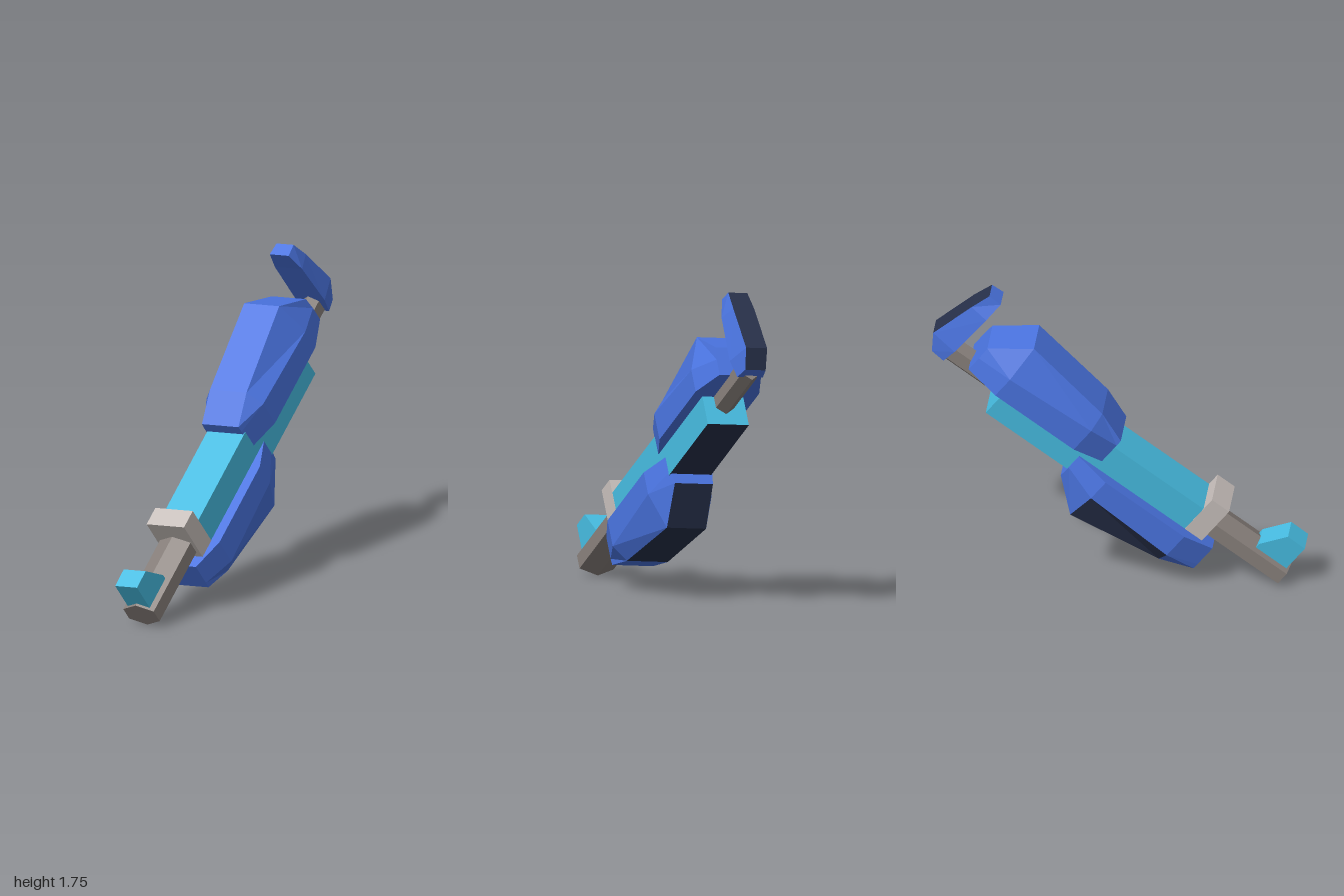
import * as THREE from 'three';

const flat = (name, color) => {
  const m = new THREE.MeshStandardMaterial({ color, flatShading: true });
  m.name = name;
  return m;
};

// Shared centre lines of the tilted assembly
const MID_B = 0.537, MID_C = 0.093;

// Skin closed rings of [x, y, z] points, counter-clockwise about the sweep, with end caps.
// Side panels picked by isDark(segment, side) go to the second material group.
function loft(rings, isDark) {
  const main = [], dark = [];
  const n = rings[0].length;
  for (let s = 0; s < rings.length - 1; s++) {
    for (let i = 0; i < n; i++) {
      const j = (i + 1) % n, A = rings[s], B = rings[s + 1];
      const out = isDark(s, i) ? dark : main;
      out.push(...A[i], ...A[j], ...B[j], ...A[i], ...B[j], ...B[i]);
    }
  }
  const first = rings[0], last = rings[rings.length - 1];
  for (let i = 1; i < n - 1; i++) {
    main.push(...first[0], ...first[i + 1], ...first[i]);
    main.push(...last[0], ...last[i], ...last[i + 1]);
  }
  const g = new THREE.BufferGeometry();
  g.setAttribute('position', new THREE.Float32BufferAttribute([...main, ...dark], 3));
  g.addGroup(0, main.length / 3, 0);
  g.addGroup(main.length / 3, dark.length / 3, 1);
  g.computeVertexNormals();
  return g;
}

export function createModel() {
  const cyan = flat('cyan', 0x46bbe0);
  const blue = flat('blue', 0x4a74e0);
  const navy = flat('dark navy', 0x27304a);
  const lightGrey = flat('light grey', 0xc6beba);
  const darkGrey = flat('dark grey', 0x88807b);

  const model = new THREE.Group();
  model.name = 'model';
  const assembly = new THREE.Group();
  assembly.name = 'tiltedAssembly';
  model.add(assembly);

  const add = (name, geometry, material) => {
    const mesh = new THREE.Mesh(geometry, material);
    mesh.name = name;
    assembly.add(mesh);
  };

  const box = (a0, a1, b0, b1, width) => {
    const g = new THREE.BoxGeometry(a1 - a0, b1 - b0, width);
    return g.translate((a0 + a1) / 2, (b0 + b1) / 2, MID_C);
  };

  // Six-sided rod with its ridges at top and bottom
  const hexRod = (a0, a1, b, halfHeight, halfWidth) => {
    const g = new THREE.CylinderGeometry(1, 1, a1 - a0, 6);
    g.rotateY(Math.PI / 6).rotateZ(-Math.PI / 2);
    g.scale(1, halfHeight, halfWidth / Math.cos(Math.PI / 6));
    return g.translate((a0 + a1) / 2, b, MID_C);
  };

  // Central body with a dark underside, collar and rods
  add('body', box(-0.075, 1.19, 0.397, 0.678, 0.242), [cyan, cyan, cyan, navy, cyan, cyan]);
  add('collar', box(-0.187, -0.072, 0.5, 0.756, 0.246), lightGrey);
  add('frontBarrel', hexRod(-0.67, -0.1, 0.584, 0.08, 0.1), darkGrey);
  add('rearRod', hexRod(1.15, 1.568, 0.536, 0.075, 0.053), darkGrey);

  // Sight at the front end
  const sight = new THREE.Shape([
    [-0.655, 0.6], [-0.45, 0.6], [-0.45, 0.664], [-0.54, 0.806], [-0.655, 0.804],
  ].map(([x, y]) => new THREE.Vector2(x, y)));
  const sightGeo = new THREE.ExtrudeGeometry(sight, { depth: 0.144, bevelEnabled: false });
  add('frontSight', sightGeo.translate(0, 0, MID_C - 0.072), cyan);

  // Faceted covers: a, top height, top half-width, shoulder height, side half-width
  const coverSections = [
    [0.53, 0.738, 0.12, 0.7, 0.122],
    [0.71, 0.813, 0.12, 0.725, 0.187],
    [1.24, 0.904, 0.115, 0.7, 0.187],
    [1.43, 0.735, 0.112, 0.66, 0.122],
  ];
  const cover = (sign, shift, isDark) => loft(coverSections.map(([a, top, hTop, mid, hMid]) => {
    const ring = [
      [top, -hTop], [top, hTop], [mid, hMid], [0.566, hMid], [0.566, -hMid], [mid, -hMid],
    ].map(([b, c]) => [a + shift, MID_B + sign * (b - MID_B), MID_C - 0.007 + c]);
    return sign < 0 ? ring.reverse() : ring;
  }), isDark);
  add('upperCover', cover(1, 0, () => false), [blue, navy]);
  // Dark bottom, rear slope and back bevel on the lower cover
  add('lowerCover', cover(-1, -0.789, (s, i) => (i === 4 && s > 0) || (i === 5 && s === 1)), [blue, navy]);

  // Rear plate with a dark outer face: b, near a, far a, near half-width, far half-width
  const plateSections = [
    [0.487, 1.55, 1.63, 0.075, 0.06],
    [0.587, 1.545, 1.695, 0.098, 0.062],
    [0.86, 1.535, 1.638, 0.09, 0.062],
    [0.977, 1.528, 1.605, 0.062, 0.056],
  ];
  add('rearPlate', loft(plateSections.map(([b, a0, a1, h0, h1]) => [
    [a0, b, MID_C - h0], [a0, b, MID_C + h0], [a1, b, MID_C + h1], [a1, b, MID_C - h1],
  ].map(([a, y, c]) => [a, y, c])), (s, i) => i === 2), [blue, navy]);

  // Tilt the whole assembly into its pose
  const u = new THREE.Vector3(0.787, 0.602, -0.13).normalize();
  const v = new THREE.Vector3(0.095, 0.09, 0.991).cross(u).normalize();
  const w = new THREE.Vector3().crossVectors(u, v);
  assembly.applyMatrix4(new THREE.Matrix4().makeBasis(u, v, w));
  return model;
}
